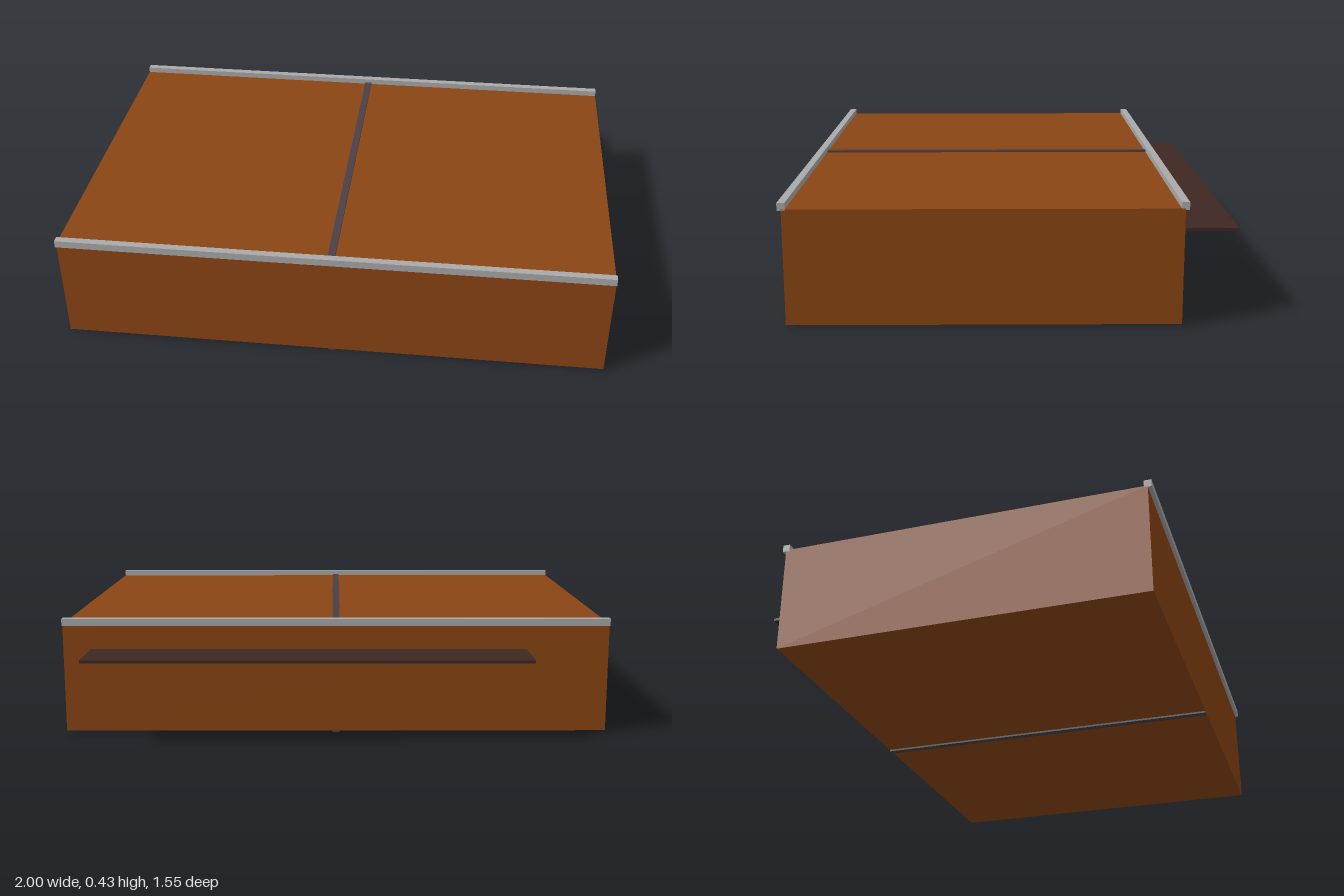
import * as THREE from 'three';

const FRONT = 0.763, BACK = -0.573;

export function createModel() {
  const model = new THREE.Group();
  const wood = new THREE.MeshStandardMaterial({ color: 0x8b4513 });
  const metal = new THREE.MeshStandardMaterial({ color: 0xaaaaaa });
  const seam = new THREE.MeshStandardMaterial({ color: 0x4a4045 });
  const dark = new THREE.MeshStandardMaterial({ color: 0x3e2723 });

  // Box given by its minimum and maximum corners
  function block(name, material, min, max) {
    const size = max.map((v, i) => v - min[i]);
    const mesh = new THREE.Mesh(new THREE.BoxGeometry(...size), material);
    mesh.position.set(...max.map((v, i) => (v + min[i]) / 2));
    mesh.name = name;
    model.add(mesh);
  }

  // Main body
  block('body', wood, [-1, 0.007, BACK], [1, 0.408, FRONT]);

  // Centre divider, standing slightly proud of the top and underside
  block('centreDivider', seam, [-0.0135, 0, BACK + 0.0005], [0.0135, 0.415, FRONT - 0.0005]);

  // Rails along the front and back top edges
  for (const [name, z] of [['frontRail', FRONT], ['backRail', BACK]]) {
    block(name, metal, [-1, 0.403, z - 0.0133], [1, 0.43, z + 0.0133]);
  }

  // Thin shelf behind, set off towards the left
  block('backShelf', dark, [-0.7, 0.304, -0.775], [0.9, 0.315, BACK]);

  return model;
}
